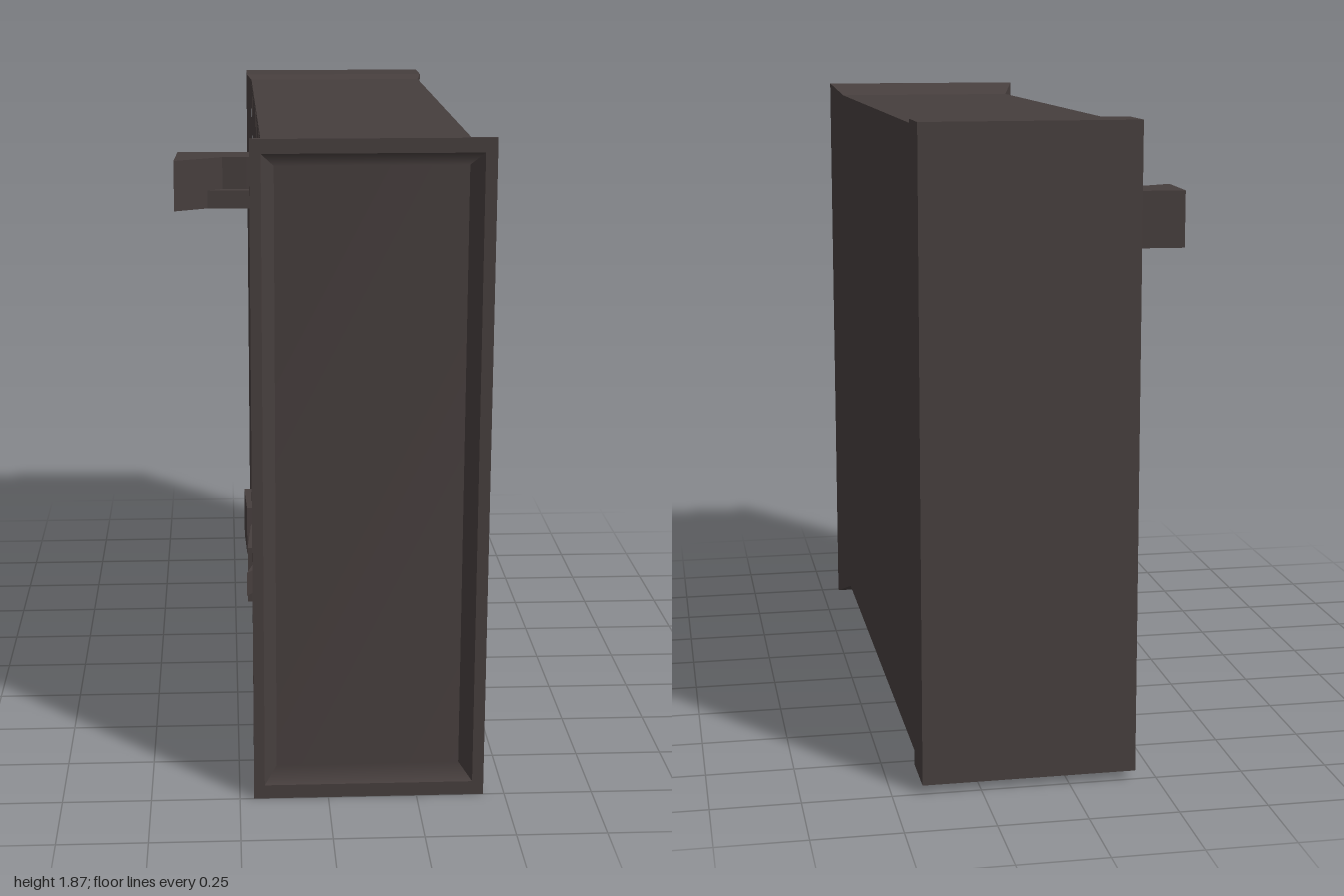
import * as THREE from 'three';

const stone = new THREE.MeshStandardMaterial({ color: 0x463e3d });
stone.name = 'dark stone';

// Main extents
const X0 = -0.175, X1 = 0.405, Y0 = 0.04, Y1 = 1.83, ZB = -0.82, ZF = 0.9;
const MORTAR = -0.145, CORE = 0.05;
const ROWS = 9, COLS = 7, GAP = 0.032;
const rowH = (Y1 - Y0) / ROWS, colW = (ZF - ZB) / COLS;

// Flat-shaded quads, each corner list counter-clockwise from outside
function quads(list) {
  const pos = [];
  for (const [a, b, c, d] of list) pos.push(...a, ...b, ...c, ...a, ...c, ...d);
  const g = new THREE.BufferGeometry();
  g.setAttribute('position', new THREE.Float32BufferAttribute(pos, 3));
  g.computeVertexNormals();
  return g;
}

// Rectangle outline [x0, x1, y0, y1, z]
const ring = ([a, b, c, d, z]) => [[a, c, z], [b, c, z], [b, d, z], [a, d, z]];

// Joins rectangles along +z; the rear is closed with a flat cap
function rectLoft(sections) {
  const rings = sections.map(ring);
  const list = [[...rings[0]].reverse()];
  for (let s = 0; s + 1 < rings.length; s++) {
    for (let i = 0; i < 4; i++) {
      const j = (i + 1) % 4;
      list.push([rings[s][i], rings[s][j], rings[s + 1][j], rings[s + 1][i]]);
    }
  }
  return quads(list);
}

export function createModel() {
  const model = new THREE.Group();
  model.name = 'stoneWallBlock';

  const add = (name, geometry, parent = model) => {
    const mesh = new THREE.Mesh(geometry, stone);
    mesh.name = name;
    parent.add(mesh);
    return mesh;
  };
  const box = (name, x0, x1, y0, y1, z0, z1, parent) => {
    const mesh = add(name, new THREE.BoxGeometry(x1 - x0, y1 - y0, z1 - z0), parent);
    mesh.position.set((x0 + x1) / 2, (y0 + y1) / 2, (z0 + z1) / 2);
    return mesh;
  };
  // Edges of one brick in the grid
  const cell = (r, c) => ({
    y0: Y0 + r * rowH + GAP / 2, y1: Y0 + (r + 1) * rowH - GAP / 2,
    z0: ZB + c * colW + GAP / 2, z1: ZB + (c + 1) * colW - GAP / 2,
  });

  // Solid core behind the brick face
  box('core', CORE, X1, Y0, Y1, ZB, ZF);
  box('topLip', X0, CORE, Y1 - 0.014, Y1, ZB, ZF);
  box('bottomLip', X0, CORE, Y0, Y0 + 0.014, ZB, ZF);

  // Rear cap with a short chamfer
  add('rearCap', rectLoft([
    [-0.19, 0.415, 0.025, 1.845, -1],
    [-0.19, 0.415, 0.025, 1.845, -0.845],
    [X0, X1, Y0, Y1, ZB],
  ]));

  // Flared front frame and its rim
  const inner = [-0.18, 0.408, 0.04, 1.828, 1], inset = [-0.145, 0.373, 0.08, 1.79, 0.955];
  add('frontFrame', rectLoft([
    [X0, X1, Y0, Y1, ZF],
    [-0.21, 0.44, 0, 1.867, 0.985],
    [-0.21, 0.44, 0, 1.867, 1],
    inner,
  ]));
  const a = ring(inner), b = ring(inset);
  add('frontSideBevels', quads([[a[1], a[2], b[2], b[1]], [a[3], a[0], b[0], b[3]]]));

  // Sunken front panel, shaded smoothly into its upper and lower bevels
  const panel = new THREE.BufferGeometry();
  const rows = [[a[0], a[1]], [b[0], b[1]], [b[3], b[2]], [a[3], a[2]]];
  panel.setAttribute('position', new THREE.Float32BufferAttribute(rows.flat(2), 3));
  const index = [];
  for (let i = 0; i < 6; i += 2) index.push(i, i + 1, i + 3, i, i + 3, i + 2);
  panel.setIndex(index);
  panel.computeVertexNormals();
  add('frontPanel', panel);

  // Mortar slab with sockets for the missing and pulled bricks
  const missing = [[4, 0], [4, 6], [1, 5]];
  const pulled = [7, 1];
  const loose = [[2, 5], [1, 1]];
  const has = (list, r, c) => list.some(([p, q]) => p === r && q === c);
  const rect = (T, z0, z1, y0, y1) => new T([[z0, y0], [z1, y0], [z1, y1], [z0, y1]]
    .map(([x, y]) => new THREE.Vector2(x, y)));
  const slab = rect(THREE.Shape, ZB, ZF, Y0, Y1);
  for (const [r, c] of [...missing, pulled]) {
    const k = cell(r, c);
    slab.holes.push(rect(THREE.Path, k.z0, k.z1, k.y0, k.y1));
  }
  const slabGeo = new THREE.ExtrudeGeometry(slab, { depth: CORE - MORTAR, bevelEnabled: false });
  slabGeo.rotateY(-Math.PI / 2).translate(CORE, 0, 0);
  add('mortar', slabGeo);

  // Bricks in a regular grid
  const bricks = new THREE.Group();
  bricks.name = 'bricks';
  model.add(bricks);
  for (let r = 0; r < ROWS; r++) {
    for (let c = 0; c < COLS; c++) {
      if (has([...missing, pulled], r, c)) continue;
      const k = cell(r, c);
      const out = has(loose, r, c) ? 0.037 : 0;
      const brick = box(out ? 'looseBrick' : 'brick', X0 - out, -0.1, k.y0, k.y1, k.z0, k.z1, bricks);
      if (out) brick.rotation.y = r === 2 ? -0.06 : 0.03;
    }
  }

  // Broken brick pulled far out: lower layer and a more worn upper layer
  const slice = (name, points, top, depth) => {
    const shape = new THREE.Shape(points.map(([x, z]) => new THREE.Vector2(x, z)));
    const g = new THREE.ExtrudeGeometry(shape, { depth, bevelEnabled: false });
    add(name, g.rotateX(Math.PI / 2).translate(0, top, 0));
  };
  const k = cell(...pulled);
  slice('pulledBrickLower', [[-0.43, -0.57], [0, -0.545], [0, -0.4], [-0.33, -0.41], [-0.44, -0.355]],
    k.y0 + 0.06, 0.06);
  slice('pulledBrickUpper', [[-0.43, -0.57], [0, -0.545], [0, -0.43], [-0.2, -0.435], [-0.28, -0.44],
    [-0.33, -0.41], [-0.44, -0.355]], k.y1, k.y1 - k.y0 - 0.06);

  // Splinter beside the loose brick
  slice('splinter', [[-0.19, 0.63], [-0.195, 0.67], [-0.222, 0.71], [-0.205, 0.64]], 0.57, 0.07);

  return model;
}
